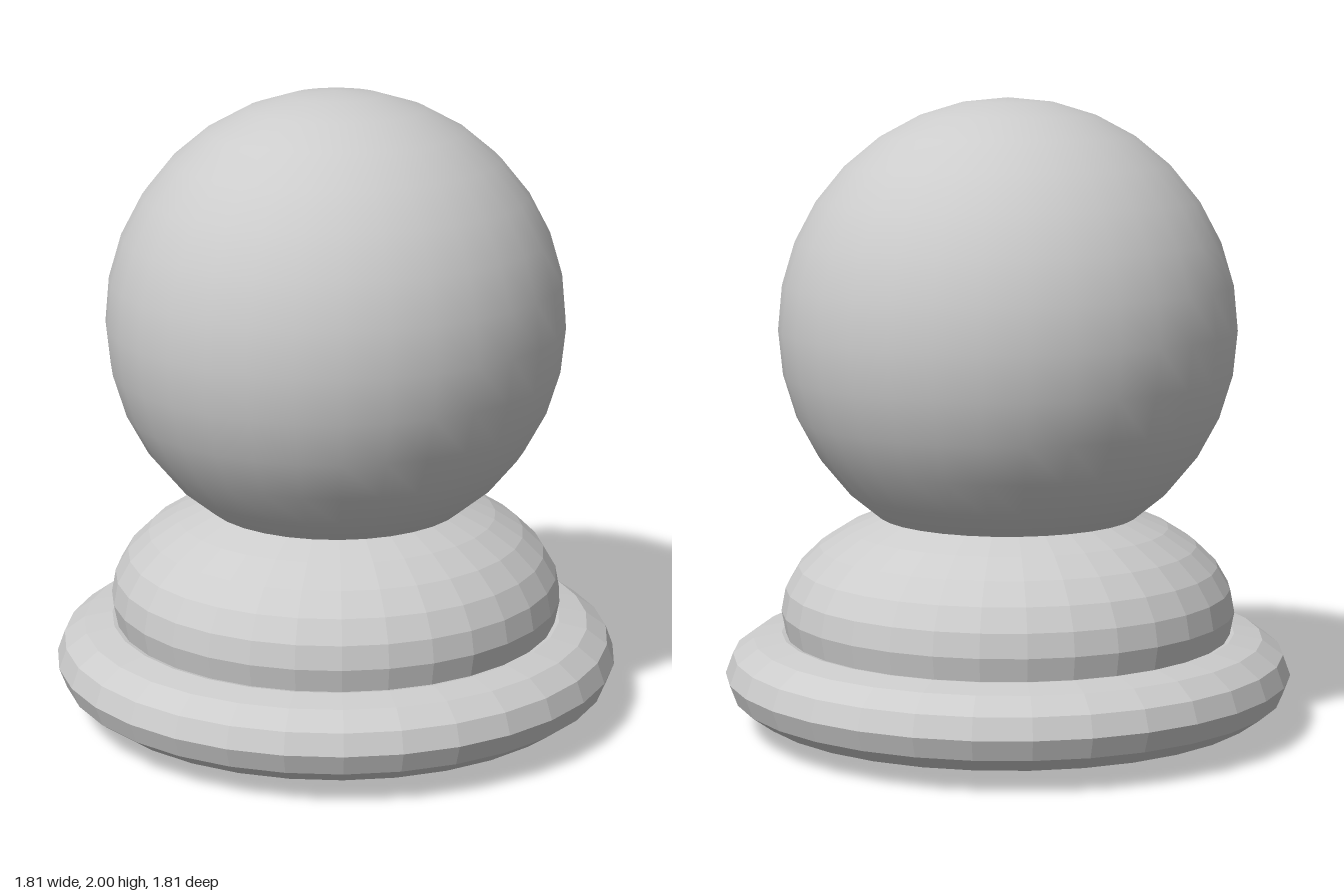
import * as THREE from 'three';

export function createModel() {
  const model = new THREE.Group();
  const smoothGrey = new THREE.MeshStandardMaterial({ color: 0xcccccc });
  smoothGrey.name = 'light grey';

  // Faceted parts get unshared vertices, so one material serves all parts
  const faceted = (geometry) => {
    const flat = geometry.toNonIndexed();
    flat.computeVertexNormals();
    return flat;
  };

  const add = (name, geometry, y) => {
    const mesh = new THREE.Mesh(geometry, smoothGrey);
    mesh.name = name;
    mesh.position.y = y;
    model.add(mesh);
  };

  // Smooth ball on top
  add('ball', new THREE.SphereGeometry(0.725, 32, 16), 1.275);

  // Squashed faceted cushion that holds the ball and bulges out underneath
  const cushion = new THREE.SphereGeometry(0.725, 32, 16).scale(1, 0.375 / 0.725, 1);
  add('cushion', faceted(cushion), 0.375);

  // Flattened faceted ring around the foot
  const ring = new THREE.TorusGeometry(0.725, 0.18, 12, 32)
    .rotateX(-Math.PI / 2)
    .scale(1, 0.13 / 0.18, 1);
  add('baseRing', faceted(ring), 0.175);

  return model;
}
